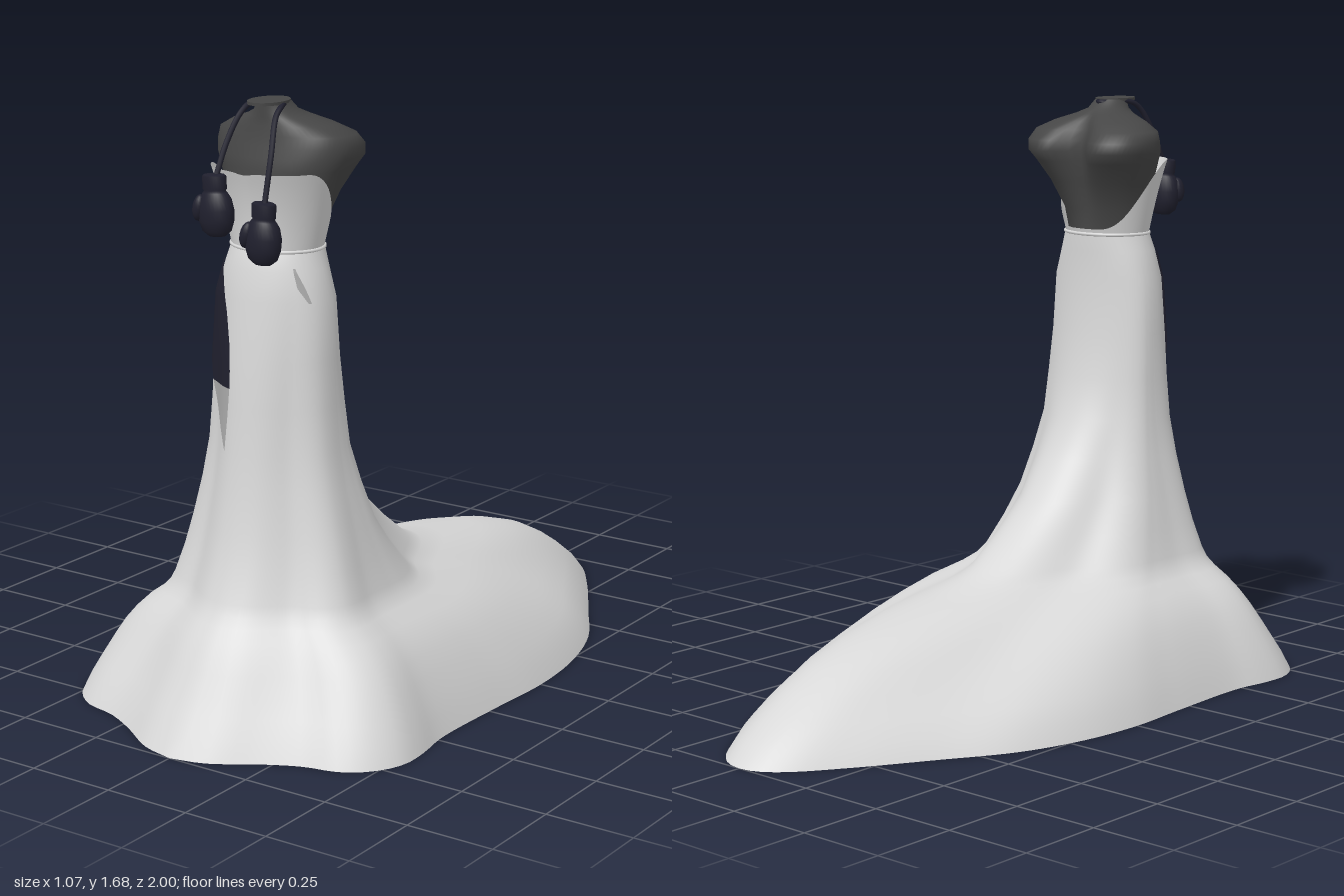
import * as THREE from 'three';

const { lerp, smoothstep } = THREE.MathUtils;
const mat = (name, color) => new THREE.MeshStandardMaterial({ name, color, side: THREE.DoubleSide });
const bump = (v, centre, width) => Math.exp(-(((v - centre) / width) ** 2));

// Interpolates a table of rows [y, ...values] ordered from top to bottom
function sample(table, y) {
  if (y >= table[0][0]) return table[0];
  for (let i = 1; i < table.length; i++) {
    const a = table[i - 1], b = table[i];
    if (y >= b[0]) {
      const t = (a[0] - y) / (a[0] - b[0]);
      return a.map((v, k) => lerp(v, b[k], t));
    }
  }
  return table[table.length - 1];
}

// Skins a list of rings (top first, each running from +z towards +x)
function loft(rings, closed = true) {
  const n = rings[0].length, index = [];
  for (let r = 0; r < rings.length - 1; r++) {
    for (let i = 0; i < (closed ? n : n - 1); i++) {
      const a = r * n + i, b = r * n + (i + 1) % n;
      index.push(a, a + n, b, b, a + n, b + n);
    }
  }
  const geo = new THREE.BufferGeometry();
  geo.setAttribute('position', new THREE.Float32BufferAttribute(rings.flat(2), 3));
  geo.setIndex(index);
  geo.computeVertexNormals();
  return geo;
}

// Hem outline, half of it from the front point round to the tip of the train: [x, z]
const HEM = [[0, 1], [0.1, 0.975], [0.22, 0.9], [0.32, 0.85], [0.42, 0.825], [0.49, 0.77], [0.53, 0.69],
  [0.53, 0.6], [0.512, 0.48], [0.52, 0.2], [0.53, 0], [0.51, -0.2], [0.45, -0.4], [0.335, -0.6],
  [0.215, -0.8], [0.115, -0.94], [0.05, -0.99], [0, -1]];
const MID = 0.5;
const hemHalf = new THREE.CatmullRomCurve3(HEM.map(([x, z]) => new THREE.Vector3(x, 0, z))).getSpacedPoints(72);
const hem = [...hemHalf, ...hemHalf.slice(1, -1).reverse().map(p => new THREE.Vector3(-p.x, 0, p.z))]
  .map(p => [p.x / 0.53, p.z > MID ? (p.z - MID) / 0.5 : (p.z - MID) / 1.5]);

// Skirt levels: y, front z, back z, half width, how strongly the hem folds show
const SKIRT = [
  [1.29, 0.605, 0.39, 0.132, 0], [1.24, 0.625, 0.39, 0.147, 0.03], [1.16, 0.635, 0.393, 0.172, 0.1],
  [1.0, 0.655, 0.385, 0.18, 0.2], [0.87, 0.665, 0.36, 0.187, 0.27], [0.75, 0.675, 0.33, 0.197, 0.34],
  [0.64, 0.69, 0.26, 0.218, 0.42], [0.53, 0.71, 0.18, 0.245, 0.5], [0.44, 0.735, 0.07, 0.268, 0.6],
  [0.36, 0.765, -0.04, 0.293, 0.68], [0.33, 0.78, -0.11, 0.307, 0.72], [0.305, 0.8, -0.23, 0.33, 0.76],
  [0.275, 0.825, -0.43, 0.37, 0.8], [0.24, 0.85, -0.58, 0.405, 0.84], [0.2, 0.875, -0.7, 0.436, 0.88],
  [0.15, 0.905, -0.8, 0.465, 0.92], [0.1, 0.937, -0.88, 0.49, 0.95], [0.05, 0.97, -0.95, 0.513, 0.98],
  [0, 1, -1, 0.532, 1]];

function skirtRing(y) {
  const [, zf, zb, hw, w] = sample(SKIRT, y);
  const frontFold = 0.07 * smoothstep(y, 0, 0.3) * (1 - smoothstep(y, 0.7, 1.25));
  const backFold = 0.12 * smoothstep(y, 0.05, 0.28) * (1 - smoothstep(y, 0.45, 0.9));
  return hem.map(([hx, hz]) => {
    const a = Math.atan2(hx, hz), side = Math.abs(a);
    // Hollows beside the front panel and beside the ridge of the train
    const pinch = 1 - frontFold * bump(side, 0.75, 0.3) - backFold * bump(side, 2.35, 0.36);
    const x = lerp(Math.sin(a), hx, w) * pinch, z = lerp(Math.cos(a), hz, w) * pinch;
    return [x * hw, y, MID + z * (z > 0 ? zf - MID : MID - zb)];
  });
}

// Depth of the skirt's front at a point
function skirtFront(x, y) {
  const ring = skirtRing(y);
  let depth = MID;
  ring.forEach((p, i) => {
    const q = ring[(i + 1) % ring.length];
    if ((p[0] - x) * (q[0] - x) <= 0 && p[0] !== q[0]) {
      depth = Math.max(depth, lerp(p[2], q[2], (x - p[0]) / (q[0] - p[0])));
    }
  });
  return depth;
}

// Thin patch lying on the front of the skirt; rows are [y, x from, x to]
function skirtPatch(rows, lift) {
  const rings = [], steps = 30, top = rows[0][0], bottom = rows[rows.length - 1][0];
  for (let r = 0; r <= steps; r++) {
    const y = lerp(top, bottom, r / steps), [, x0, x1] = sample(rows, y), ring = [];
    for (let i = 0; i <= 14; i++) {
      const x = lerp(x0, x1, i / 14);
      ring.push([x * (1 + lift * 3), y, skirtFront(x, y) + lift]);
    }
    rings.push(ring);
  }
  return loft(rings, false);
}

// Bust form levels: y, front z, back z, half width, depth of the groove down the back
const TORSO = [
  [1.675, 0.56, 0.465, 0.045, 0], [1.65, 0.56, 0.44, 0.058, 0], [1.635, 0.56, 0.41, 0.09, 0.01],
  [1.615, 0.56, 0.37, 0.15, 0.03], [1.59, 0.565, 0.33, 0.199, 0.06], [1.56, 0.57, 0.3, 0.208, 0.08],
  [1.53, 0.58, 0.292, 0.204, 0.085], [1.5, 0.585, 0.315, 0.19, 0.065], [1.44, 0.59, 0.355, 0.163, 0.035],
  [1.36, 0.59, 0.4, 0.137, 0.015], [1.28, 0.59, 0.41, 0.122, 0]];
const torsoRings = TORSO.map(([y, zf, zb, hw, groove]) => Array.from({ length: 64 }, (_, i) => {
  const a = i / 64 * Math.PI * 2, s = Math.sin(a), c = Math.cos(a), mid = (zf + zb) / 2;
  // Slightly square sections at the shoulders
  const k = 1 - groove * 2.2, x = Math.sign(s) * Math.abs(s) ** k;
  const z = Math.sign(c) * Math.abs(c) ** k;
  const notch = c < 0 ? groove * bump(x, 0, 0.3) : 0;
  return [x * hw, y, mid + z * (zf - zb) / 2 + notch];
}));

// Bodice with its top edge falling towards the open back
function bodiceRings() {
  const rows = 10, n = 72, rings = [];
  for (let r = 0; r <= rows; r++) {
    rings.push(Array.from({ length: n }, (_, i) => {
      const a = i / n * Math.PI * 2, c = Math.cos(a), s = Math.sin(a);
      const dip = c > 0 ? 0.008 * bump(s, 0, 0.15) : 0;
      const top = lerp(1.305, 1.503, smoothstep(c, -0.95, 0.45)) - dip;
      const y = lerp(top, 1.285, r / rows), t = (y - 1.285) / 0.215;
      const zf = lerp(0.605, 0.645, t * t), zb = lerp(0.395, 0.335, t), hw = lerp(0.13, 0.176, t);
      const bust = c > 0 ? 0.014 * t * Math.abs(2 * s * c) : 0;
      return [s * hw, y, MID + c * (c > 0 ? zf - MID : MID - zb) + bust];
    }));
  }
  return rings;
}

export function createModel() {
  const model = new THREE.Group();
  model.name = 'gownOnBustForm';
  const cloth = mat('paleCloth', 0xd8d8d8), lining = mat('greyLining', 0xa8a8a8);
  const form = mat('charcoalForm', 0x464646), navy = mat('darkNavy', 0x20202e);
  const add = (name, geo, material, parent = model) => {
    const mesh = new THREE.Mesh(geo, material);
    mesh.name = name;
    parent.add(mesh);
    return mesh;
  };

  // Gown
  add('skirtWithTrain', loft(SKIRT.map(l => skirtRing(l[0]))), cloth);
  add('bodice', loft(bodiceRings()), cloth);
  const belt = skirtRing(1.29).filter((_, i) => i % 3 === 0).map(p => new THREE.Vector3(...p));
  add('waistSeam', new THREE.TubeGeometry(new THREE.CatmullRomCurve3(belt, true), 96, 0.005, 6, true), cloth);

  // Slit panel, its folded lining and the small hip pleat
  add('slitPanel', skirtPatch([[1.26, -0.124, -0.118], [1.2, -0.143, -0.096], [1.12, -0.159, -0.07],
    [1.04, -0.163, -0.052], [0.97, -0.155, -0.045], [0.92, -0.138, -0.045]], 0.006), navy);
  add('slitLining', skirtPatch([[0.92, -0.138, -0.045], [0.84, -0.1, -0.05], [0.75, -0.06, -0.058]], 0.006), lining);
  add('hipPleat', skirtPatch([[1.25, 0.109, 0.113], [1.2, 0.124, 0.138], [1.16, 0.15, 0.155]], 0.004), lining);

  // Bust form
  add('bustForm', loft(torsoRings), form);
  const cap = add('neckCap', new THREE.CylinderGeometry(1, 1, 0.008, 32), form);
  cap.scale.set(0.05, 1, 0.068);
  cap.position.set(0, 1.675, 0.532);

  // Hanging gloves
  const gloveProfile = [[0, -0.082], [0.024, -0.08], [0.042, -0.066], [0.051, -0.04], [0.053, -0.01],
    [0.047, 0.018], [0.036, 0.034], [0.031, 0.04], [0.035, 0.044], [0.035, 0.078], [0.03, 0.082], [0, 0.082]]
    .map(p => new THREE.Vector2(...p));
  const addGlove = (name, x, y, z, tilt) => {
    const glove = new THREE.Group();
    glove.name = name;
    glove.position.set(x, y, z);
    glove.rotation.z = tilt;
    model.add(glove);
    add('mitt', new THREE.LatheGeometry(gloveProfile, 28), navy, glove).scale.z = 0.72;
    const thumb = add('thumb', new THREE.SphereGeometry(1, 16, 12), navy, glove);
    thumb.scale.set(0.018, 0.036, 0.02);
    thumb.position.set(-0.04, -0.005, 0.018);
    thumb.rotation.z = -0.2;
  };
  addGlove('rightGlove', -0.075, 1.412, 0.668, 0.05);
  addGlove('leftGlove', 0.08, 1.355, 0.67, -0.04);

  // Cord looped round the neck and falling straight to the gloves
  const cord = [[-0.078, 1.485, 0.662], [-0.074, 1.57, 0.62], [-0.06, 1.645, 0.575], [-0.05, 1.668, 0.54],
    [0, 1.668, 0.46], [0.048, 1.668, 0.54], [0.054, 1.645, 0.575], [0.077, 1.55, 0.63], [0.083, 1.43, 0.668]]
    .map(p => new THREE.Vector3(...p));
  add('neckCord', new THREE.TubeGeometry(new THREE.CatmullRomCurve3(cord), 80, 0.0075, 8), navy);

  return model;
}
